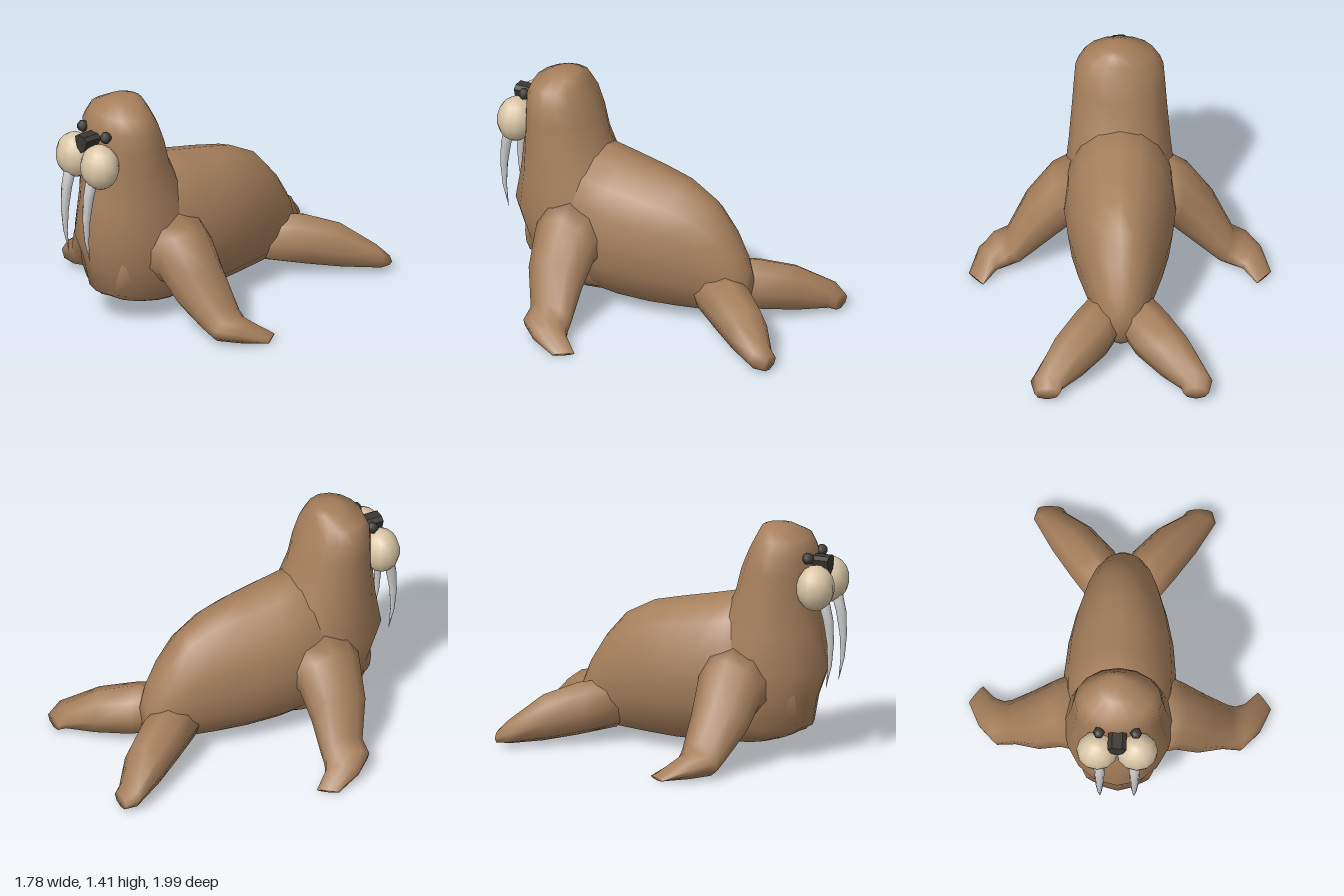
import * as THREE from 'three';

const mat = (color) => new THREE.MeshStandardMaterial({ color, roughness: 0.9 });
const V = (p) => new THREE.Vector3(...p);

// Closed skin over elliptical rings; each section is [centre, half axis a, half axis b]
function loft(sections, sides) {
  const pos = [], index = [];
  const [c0, a0, b0] = sections[0].map(V);
  const along = V(sections[1][0]).sub(c0);
  const dir = Math.sign(a0.clone().cross(b0).dot(along)) || 1;
  for (const s of sections) {
    const [c, a, b] = s.map(V);
    for (let j = 0; j < sides; j++) {
      const t = (dir * j / sides) * Math.PI * 2;
      const p = c.clone().addScaledVector(a, Math.cos(t)).addScaledVector(b, Math.sin(t));
      pos.push(p.x, p.y, p.z);
    }
  }
  const n = sections.length;
  const first = n * sides, last = first + 1;
  pos.push(...sections[0][0], ...sections[n - 1][0]);
  for (let j = 0; j < sides; j++) {
    const k = (j + 1) % sides;
    for (let i = 0; i < n - 1; i++) {
      const r = i * sides, s = r + sides;
      index.push(r + j, r + k, s + j, r + k, s + k, s + j);
    }
    const e = (n - 1) * sides;
    index.push(first, k, j, last, e + j, e + k);
  }
  const g = new THREE.BufferGeometry();
  g.setAttribute('position', new THREE.Float32BufferAttribute(pos, 3));
  g.setIndex(index);
  g.computeVertexNormals();
  return g;
}

// Mirror sections to the given side
const mirror = (sections, s) => sections.map((sec) => sec.map(([x, y, z]) => [x * s, y, z]));

export function createModel() {
  const group = new THREE.Group();
  const hide = mat(0xa67f5c), cream = mat(0xdac6a6), dark = mat(0x3b3732), ivory = mat(0xcccccc);
  const add = (name, geometry, material, p = [0, 0, 0]) => {
    const m = new THREE.Mesh(geometry, material);
    m.name = name;
    m.position.set(...p);
    group.add(m);
    return m;
  };

  // Torso: [z, top, bottom, half width]
  const torso = [
    [0.78, 0.6, 0.17, 0.2], [0.6, 0.92, 0.09, 0.29], [0.36, 0.98, 0.055, 0.325],
    [0.2, 0.945, 0.04, 0.33], [0, 0.905, 0.04, 0.31], [-0.18, 0.865, 0.05, 0.27],
    [-0.36, 0.77, 0.065, 0.215], [-0.48, 0.63, 0.08, 0.17], [-0.57, 0.48, 0.1, 0.12],
    [-0.62, 0.36, 0.17, 0.06],
  ].map(([z, t, b, w]) => [[0, (t + b) / 2, z], [w, 0, 0], [0, (t - b) / 2, 0]]);
  add('torso', loft(torso, 16), hide);

  // Chest, neck and head: [y, front, back, half width]
  const head = [
    [0.09, 0.58, 0.2, 0.15], [0.13, 0.7, 0.15, 0.21], [0.2, 0.82, 0.1, 0.26],
    [0.36, 0.845, 0.08, 0.31], [0.55, 0.915, 0.12, 0.325], [0.77, 0.875, 0.24, 0.3],
    [1.0, 0.85, 0.355, 0.28], [1.14, 0.845, 0.39, 0.27], [1.26, 0.835, 0.44, 0.26],
    [1.34, 0.8, 0.48, 0.21], [1.395, 0.71, 0.505, 0.11], [1.41, 0.67, 0.54, 0.05],
  ].map(([y, f, b, w]) => [[0, y, (f + b) / 2], [w, 0, 0], [0, 0, (f - b) / 2]]);
  add('chestAndHead', loft(head, 16), hide);

  // Flippers and tusks as [centre, half axis, half axis], drawn for the left side
  const frontFlipper = [
    [[0.2, 0.48, 0.43], [0.08, 0.22, 0], [0, 0, 0.25]],
    [[0.355, 0.445, 0.43], [0.05, 0.19, 0], [0, 0, 0.2]],
    [[0.49, 0.29, 0.42], [0.07, 0.14, 0], [0, 0, 0.175]],
    [[0.625, 0.12, 0.375], [0.045, 0.09, 0], [0, 0, 0.135]],
    [[0.7, 0.085, 0.37], [0.035, 0.08, 0], [0.03, 0, 0.135]],
    [[0.78, 0.065, 0.3], [0.015, 0.06, 0], [0.05, 0, 0.09]],
    [[0.85, 0.015, 0.17], [0.005, 0.012, 0], [0.042, 0, 0.055]],
  ];
  const rearFlipper = [
    [[0.06, 0.23, -0.4], [0.11, 0, 0.07], [0, 0.15, 0]],
    [[0.18, 0.2, -0.6], [0.125, 0, 0.083], [0, 0.16, 0]],
    [[0.31, 0.16, -0.77], [0.112, 0, 0.075], [0, 0.14, 0]],
    [[0.44, 0.09, -0.935], [0.097, 0, 0.02], [0, 0.072, 0]],
    [[0.44, 0.06, -0.995], [0.075, 0, 0], [0, 0.042, 0]],
  ];
  const tusk = [
    [[0.105, 1.0, 0.93], [0.037, 0, 0], [0, 0, 0.037]],
    [[0.104, 0.88, 0.96], [0.031, 0, 0], [0, 0, 0.033]],
    [[0.103, 0.74, 0.974], [0.024, 0, 0], [0, 0, 0.023]],
    [[0.102, 0.6, 0.97], [0.013, 0, 0], [0, 0, 0.013]],
    [[0.1, 0.46, 0.945], [0.001, 0, 0], [0, 0, 0.001]],
  ];
  for (const [side, s] of [['left', 1], ['right', -1]]) {
    add(side + 'FrontFlipper', loft(mirror(frontFlipper, s), 10), hide);
    add(side + 'RearFlipper', loft(mirror(rearFlipper, s), 8), hide);
    add(side + 'Tusk', loft(mirror(tusk, s), 8), ivory);
    const cheek = new THREE.SphereGeometry(1, 12, 9).scale(0.125, 0.138, 0.113);
    add(side + 'Cheek', cheek, cream, [0.117 * s, 1.068, 0.885]);
    add(side + 'Eye', new THREE.SphereGeometry(0.036, 6, 5), dark, [0.11 * s, 1.24, 0.835]);
  }

  // Nose: wide on top, pointed below
  const noseShape = new THREE.Shape(
    [[-0.03, 1.24], [-0.056, 1.22], [-0.036, 1.155], [0, 1.13], [0.036, 1.155], [0.056, 1.22], [0.03, 1.24]]
      .map(([x, y]) => new THREE.Vector2(x, y)));
  const nose = new THREE.ExtrudeGeometry(noseShape, { depth: 0.12, bevelEnabled: false });
  add('nose', nose, dark, [0, 0, 0.815]);

  return group;
}
